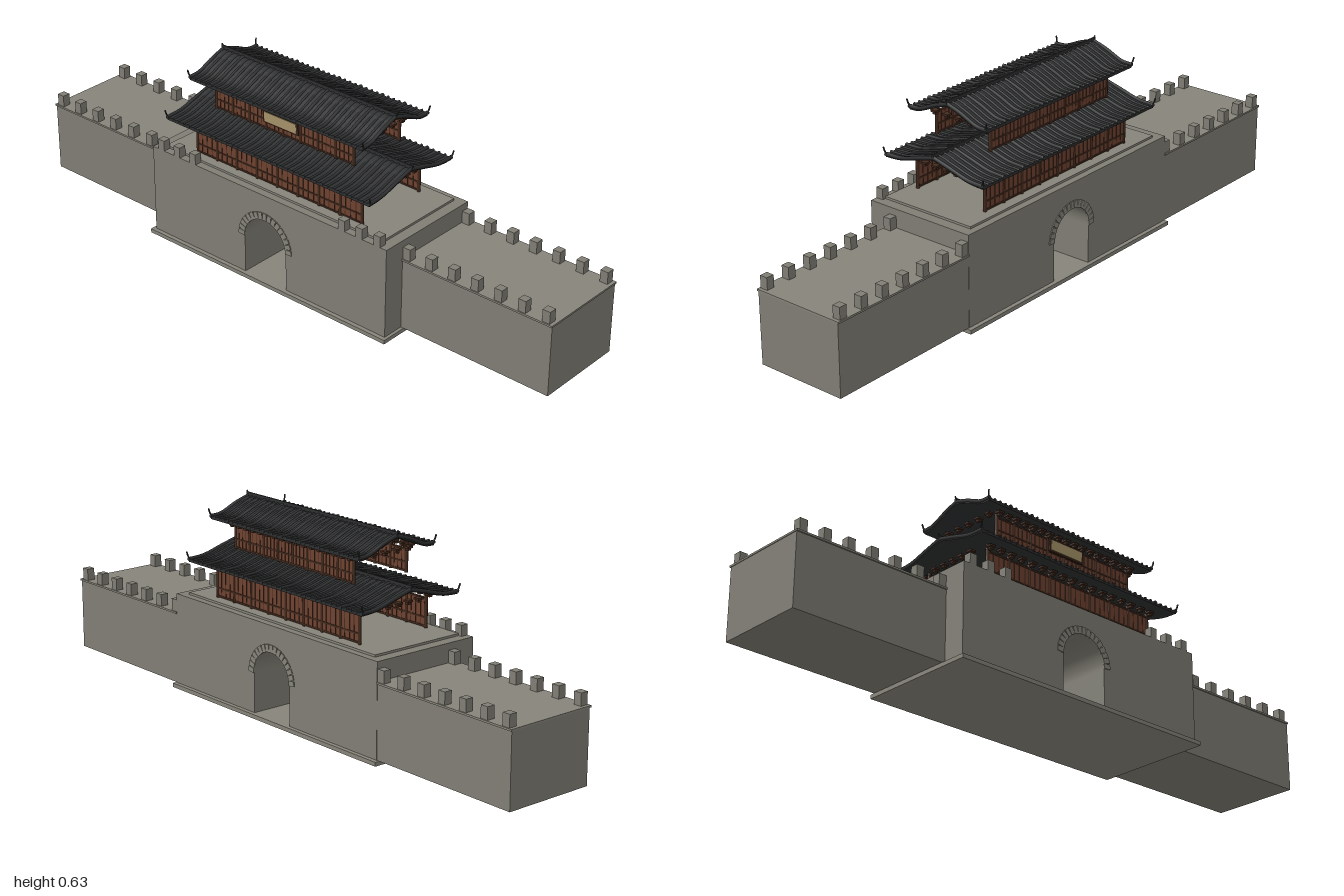
import * as THREE from 'three';
import { mergeGeometries } from 'three/addons/utils/BufferGeometryUtils.js';

const mat = (color, extra = {}) => new THREE.MeshStandardMaterial({ color, ...extra });
const stone = mat(0x807e74), paving = mat(0x87847a), tile = mat(0x2e2f30);
const wood = mat(0x6e4230), darkWood = mat(0x432a1d), doorWood = mat(0x70452f);
const metal = mat(0x2b2420), gold = mat(0xa8956a);

function add(parent, name, geometry, material) {
  const mesh = new THREE.Mesh(geometry, material);
  mesh.name = name;
  parent.add(mesh);
  return mesh;
}

// Box given by its limits on each axis
function span(x0, x1, y0, y1, z0, z1) {
  return new THREE.BoxGeometry(x1 - x0, y1 - y0, z1 - z0)
    .translate((x0 + x1) / 2, (y0 + y1) / 2, (z0 + z1) / 2);
}
const boxAt = (x, y, z, w, h, d) => new THREE.BoxGeometry(w, h, d).translate(x, y, z);

function gatehouse() {
  const g = new THREE.Group();
  g.name = 'gatehouse';
  const r = 0.083, spring = 0.14;
  add(g, 'plinth', span(-0.48, 0.48, 0, 0.013, -0.202, 0.202), paving);

  // Block with an arched passage
  const s = new THREE.Shape();
  s.moveTo(-0.47, 0.013);
  s.lineTo(-r, 0.013);
  s.lineTo(-r, spring);
  s.absarc(0, spring, r, Math.PI, 0, true);
  s.lineTo(r, 0.013);
  s.lineTo(0.47, 0.013);
  s.lineTo(0.47, 0.307);
  s.lineTo(-0.47, 0.307);
  s.closePath();
  add(g, 'gateBlock', new THREE.ExtrudeGeometry(s, { depth: 0.376, bevelEnabled: false, curveSegments: 20 })
    .translate(0, 0, -0.188), stone);
  add(g, 'terrace', span(-0.435, 0.435, 0.307, 0.314, -0.165, 0.163), paving);

  // Wedge stones around both arch mouths
  const stones = [];
  for (const z of [-0.188, 0.188]) {
    for (let i = 0; i < 17; i++) {
      const a = (i + 0.5) / 17 * Math.PI;
      stones.push(new THREE.BoxGeometry(0.024, 0.0155, 0.006).translate(0.095, 0, 0)
        .rotateZ(a).translate(0, spring, z));
    }
  }
  add(g, 'archStones', mergeGeometries(stones), paving);

  // Merlons only on the outer parts of the front edge
  const merlons = [];
  for (const side of [-1, 1])
    for (const x of [0.3, 0.367, 0.434]) merlons.push(boxAt(side * x, 0.324, 0.1755, 0.025, 0.034, 0.025));
  add(g, 'frontMerlons', mergeGeometries(merlons), stone);
  return g;
}

function doors() {
  const g = new THREE.Group();
  g.name = 'doors';
  const planks = [], bands = [], studs = [];
  for (const side of [-1, 1]) {
    for (let i = 0; i < 4; i++)
      planks.push(boxAt(side * (0.011 + i * 0.0197), 0.0765, 0, 0.0188, 0.127, 0.01));
    planks.push(boxAt(side * 0.041, 0.0765, 0, 0.078, 0.125, 0.007));
    for (const y of [0.035, 0.118]) bands.push(boxAt(side * 0.041, y, 0, 0.076, 0.006, 0.013));
    for (const z of [-0.007, 0.007]) {
      bands.push(new THREE.TorusGeometry(0.006, 0.0014, 6, 14).translate(side * 0.017, 0.073, z));
      for (let i = 0; i < 4; i++)
        for (const y of [0.05, 0.1])
          studs.push(new THREE.SphereGeometry(0.0022, 6, 4).translate(side * (0.011 + i * 0.0197), y, z * 0.75));
    }
  }
  add(g, 'doorLeaves', mergeGeometries(planks), doorWood);
  add(g, 'doorBandsAndRings', mergeGeometries(bands), metal);
  add(g, 'doorStuds', mergeGeometries(studs), metal);
  return g;
}

function wing(side) {
  const g = new THREE.Group();
  g.name = side > 0 ? 'leftWall' : 'rightWall';
  const place = (a, b, ...rest) => side > 0 ? span(a, b, ...rest) : span(-b, -a, ...rest);
  add(g, 'wallBody', place(0.47, 0.998, 0.013, 0.241, -0.187, 0.114), stone);
  add(g, 'wallTop', place(0.47, 1, 0.241, 0.247, -0.191, 0.118), paving);
  const merlons = [];
  for (let i = 0; i < 7; i++)
    for (const z of [-0.174, 0.101]) merlons.push(boxAt(side * (0.484 + i * 0.082), 0.266, z, 0.026, 0.039, 0.026));
  add(g, 'wallMerlons', mergeGeometries(merlons), stone);
  return g;
}

// Curved gable roof; top and bottom are half profiles of [z, y] from ridge to eave
function roof(name, halfX, top, bottom) {
  const g = new THREE.Group();
  g.name = name;
  const curve = pts => new THREE.SplineCurve(
    [...pts.slice(1).reverse().map(([z, y]) => [-z, y]), ...pts].map(p => new THREE.Vector2(...p)));
  const upper = curve(top).getPoints(24), lower = curve(bottom).getPoints(24);
  const s = new THREE.Shape([...lower, ...upper.reverse()]);
  add(g, 'roofShell', new THREE.ExtrudeGeometry(s, { depth: 2 * halfX - 0.01, bevelEnabled: false })
    .translate(0, 0, -halfX + 0.005).rotateY(Math.PI / 2), tile);

  // Tile ribs down both slopes, ending in round eave tiles
  const ribs = [], n = Math.round(halfX * 2 / 0.0215 / 4) * 4;
  const eave = top[top.length - 1];
  for (const side of [-1, 1]) {
    for (let i = 0; i <= n; i++) {
      const x = -halfX + 0.006 + i / n * (2 * halfX - 0.012), r = i % 4 ? 0.0042 : 0.006;
      const path = new THREE.CatmullRomCurve3(top.map(([z, y]) => new THREE.Vector3(x, y, side * z)));
      ribs.push(new THREE.TubeGeometry(path, 10, r, 6));
      ribs.push(new THREE.CylinderGeometry(r, r, 0.004, 8).rotateX(Math.PI / 2)
        .translate(x, eave[1], side * eave[0]));
    }
  }
  add(g, 'tileRibs', mergeGeometries(ribs), tile);

  // Ridge beam with upturned ends, and a horn at each corner
  const ridgeY = top[0][1];
  add(g, 'ridge', boxAt(0, ridgeY + 0.005, 0, 2 * halfX, 0.012, 0.005), tile);
  const horns = [];
  const horn = pts => {
    const tube = new THREE.TubeGeometry(
      new THREE.CatmullRomCurve3(pts.map(p => new THREE.Vector3(...p))), 8, 0.0026, 6);
    horns.push(tube, new THREE.SphereGeometry(0.0026, 6, 4).translate(...pts[pts.length - 1]));
  };
  for (const sx of [-1, 1]) {
    horn([[sx * (halfX - 0.02), ridgeY + 0.007, 0], [sx * (halfX - 0.004), ridgeY + 0.009, 0],
      [sx * halfX, ridgeY + 0.014, 0]]);
    for (const sz of [-1, 1])
      horn([[sx * (halfX - 0.008), eave[1] - 0.003, sz * (eave[0] - 0.018)],
        [sx * (halfX - 0.003), eave[1] + 0.005, sz * (eave[0] - 0.001)],
        [sx * halfX, eave[1] + 0.021, sz * (eave[0] + 0.004)]]);
  }
  add(g, 'cornerHorns', mergeGeometries(horns), tile);
  return g;
}

// Timber storey: column rows with panels front and back, brackets all round
function storey(name, { halfX, z, y0, y1, panelTop, bracketY, columns, step }) {
  const g = new THREE.Group();
  g.name = name;
  const posts = [], panels = [], beams = [], brackets = [];
  const bracket = (x, bz) => brackets.push(
    boxAt(x, bracketY, bz, 0.02, 0.006, 0.02), boxAt(x, bracketY - 0.0075, bz, 0.012, 0.006, 0.012));
  const bay = 2 * halfX / (columns - 1);
  for (const side of [-1, 1]) {
    for (let i = 0; i < columns; i++) {
      const x = -halfX + i * bay;
      posts.push(new THREE.CylinderGeometry(0.0055, 0.0055, y1 - y0, 10).translate(x, (y0 + y1) / 2, side * z));
      beams.push(boxAt(x, bracketY, side * (z + 0.008), 0.008, 0.006, 0.032));
      if (i === columns - 1) continue;
      for (const k of [0.25, 0.5, 0.75])
        beams.push(span(x + bay * k - 0.0012, x + bay * k + 0.0012, y0 + 0.004, panelTop, side * z - 0.004, side * z + 0.004));
      for (const k of [0, 0.5]) bracket(x + bay * k, side * (z + 0.014));
    }
    bracket(halfX, side * (z + 0.014));
    panels.push(span(-halfX, halfX, y0 + 0.002, panelTop, side * z - 0.0025, side * z + 0.0025));
    for (const y of [y0 + 0.006, y0 + 0.032, panelTop])
      beams.push(boxAt(0, y, side * z, 2 * halfX, 0.005, 0.009));
    // Brackets across the open ends
    for (let k = -2; k <= 2; k++) bracket(side * (halfX + 0.02), k * step);
  }
  add(g, 'columns', mergeGeometries(posts), darkWood);
  add(g, 'wallPanels', mergeGeometries(panels), wood);
  add(g, 'beamsAndLattice', mergeGeometries(beams), darkWood);
  add(g, 'roofBrackets', mergeGeometries(brackets), darkWood);
  return g;
}

function plaque() {
  const g = new THREE.Group();
  g.name = 'plaque';
  add(g, 'plaqueFrame', boxAt(0, 0, 0, 0.138, 0.042, 0.005), darkWood);
  add(g, 'plaqueBoard', boxAt(0, 0, 0.002, 0.126, 0.032, 0.004), gold);
  g.position.set(0, 0.526, 0.115);
  g.rotation.x = 0.05;
  return g;
}

export function createModel() {
  const model = new THREE.Group();
  model.name = 'fortifiedGate';
  model.add(gatehouse(), doors(), wing(-1), wing(1));
  model.add(storey('lowerStorey', { halfX: 0.33, z: 0.13, y0: 0.314, y1: 0.43,
    panelTop: 0.404, bracketY: 0.417, columns: 9, step: 0.04 }));
  model.add(roof('lowerRoof', 0.408, [[0, 0.47], [0.06, 0.454], [0.13, 0.435], [0.187, 0.432]],
    [[0, 0.46], [0.06, 0.445], [0.13, 0.427], [0.187, 0.423]]));
  model.add(storey('upperStorey', { halfX: 0.272, z: 0.103, y0: 0.476, y1: 0.569,
    panelTop: 0.547, bracketY: 0.559, columns: 9, step: 0.045 }));
  model.add(roof('upperRoof', 0.346, [[0, 0.617], [0.05, 0.601], [0.11, 0.576], [0.147, 0.574]],
    [[0, 0.607], [0.05, 0.591], [0.11, 0.567], [0.147, 0.564]]));
  model.add(plaque());
  return model;
}
